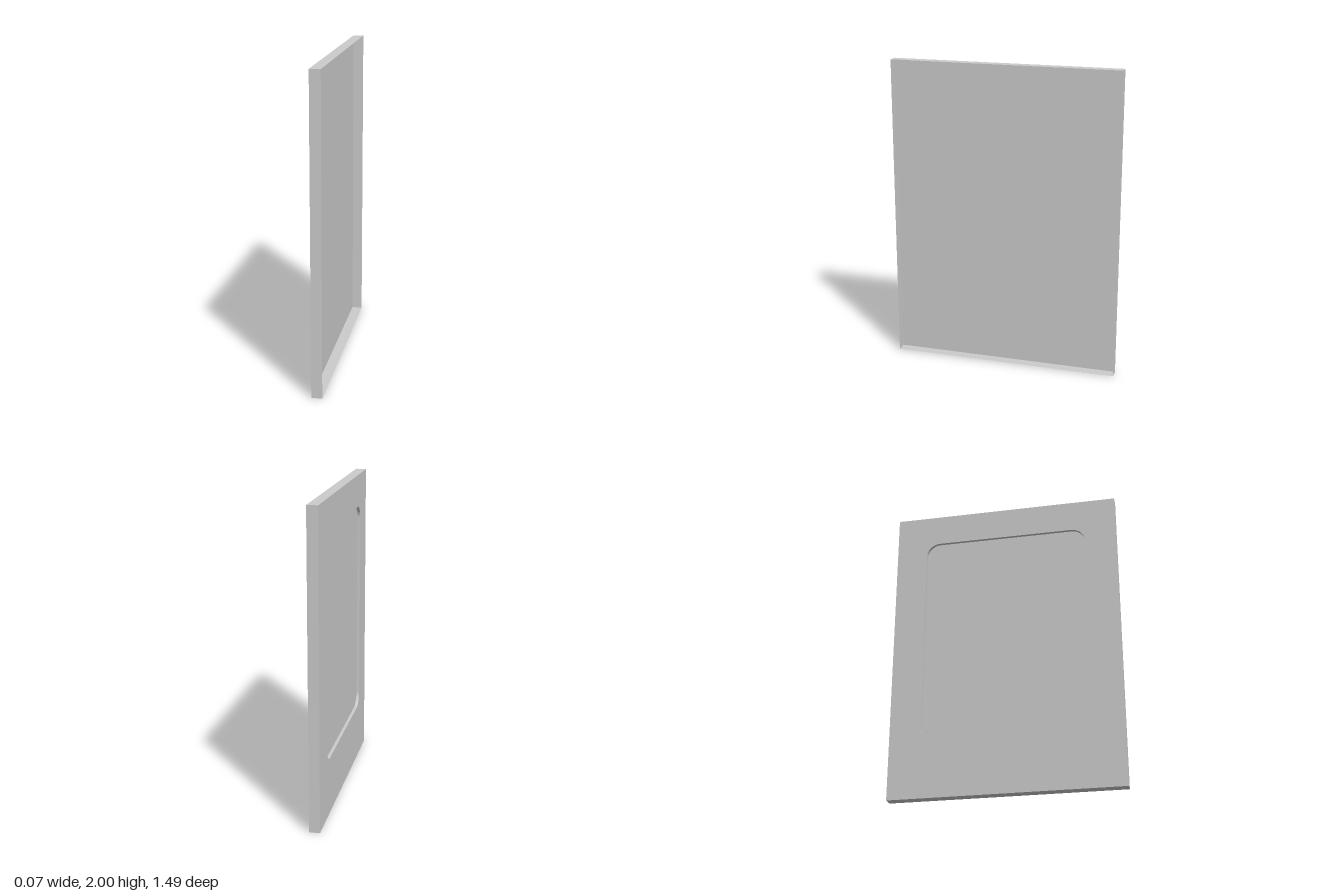
import * as THREE from 'three';
import { toCreasedNormals } from 'three/addons/utils/BufferGeometryUtils.js';

const BACK = -0.034, FRONT = 0.034, PANEL = -0.014;

// Rounded rectangle outline in the z-y plane, as a shape or a hole
function outline(Type, z0, z1, y0, y1, r = 0) {
  const s = new Type();
  if (r === 0) {
    s.moveTo(z0, y0).lineTo(z1, y0).lineTo(z1, y1).lineTo(z0, y1).lineTo(z0, y0);
    return s;
  }
  s.absarc(z1 - r, y0 + r, r, -Math.PI / 2, 0);
  s.absarc(z1 - r, y1 - r, r, 0, Math.PI / 2);
  s.absarc(z0 + r, y1 - r, r, Math.PI / 2, Math.PI);
  s.absarc(z0 + r, y0 + r, r, Math.PI, Math.PI * 1.5);
  s.closePath();
  return s;
}

// Flat sheet facing -x
function sheet(shape, x) {
  return new THREE.ShapeGeometry(shape, 10).rotateY(-Math.PI / 2).translate(x, 0, 0);
}

// Band of wall that follows an outline from x0 to x1
function band(path, x0, x1) {
  const pts = path.getPoints(10);
  const pos = [];
  for (let i = 0; i < pts.length - 1; i++) {
    const a = pts[i], b = pts[i + 1];
    if (a.distanceTo(b) < 1e-6) continue;
    pos.push(x0, a.y, a.x, x0, b.y, b.x, x1, b.y, b.x);
    pos.push(x0, a.y, a.x, x1, b.y, b.x, x1, a.y, a.x);
  }
  const g = new THREE.BufferGeometry();
  g.setAttribute('position', new THREE.Float32BufferAttribute(pos, 3));
  return toCreasedNormals(g, Math.PI / 6);
}

export function createModel() {
  const group = new THREE.Group();
  const material = new THREE.MeshStandardMaterial({ color: 0xcccccc, side: THREE.DoubleSide });
  const add = (name, geometry) => {
    const mesh = new THREE.Mesh(geometry, material);
    mesh.name = name;
    group.add(mesh);
  };

  const body = outline(THREE.Shape, -0.746, 0.746, 0, 2);
  const opening = outline(THREE.Path, -0.54, 0.54, 0.37, 1.79, 0.09);

  // Open tray: face sheet with a rounded window, and its four rim walls
  body.holes.push(opening);
  add('facePlate', sheet(body, BACK));
  add('rimWalls', band(body, BACK, FRONT));

  // Recessed panel behind the window, joined by the window's edge
  add('windowEdge', band(opening, BACK, PANEL));
  add('insetPanel', sheet(outline(THREE.Shape, -0.57, 0.578, 0.34, 1.84), PANEL));
  return group;
}
